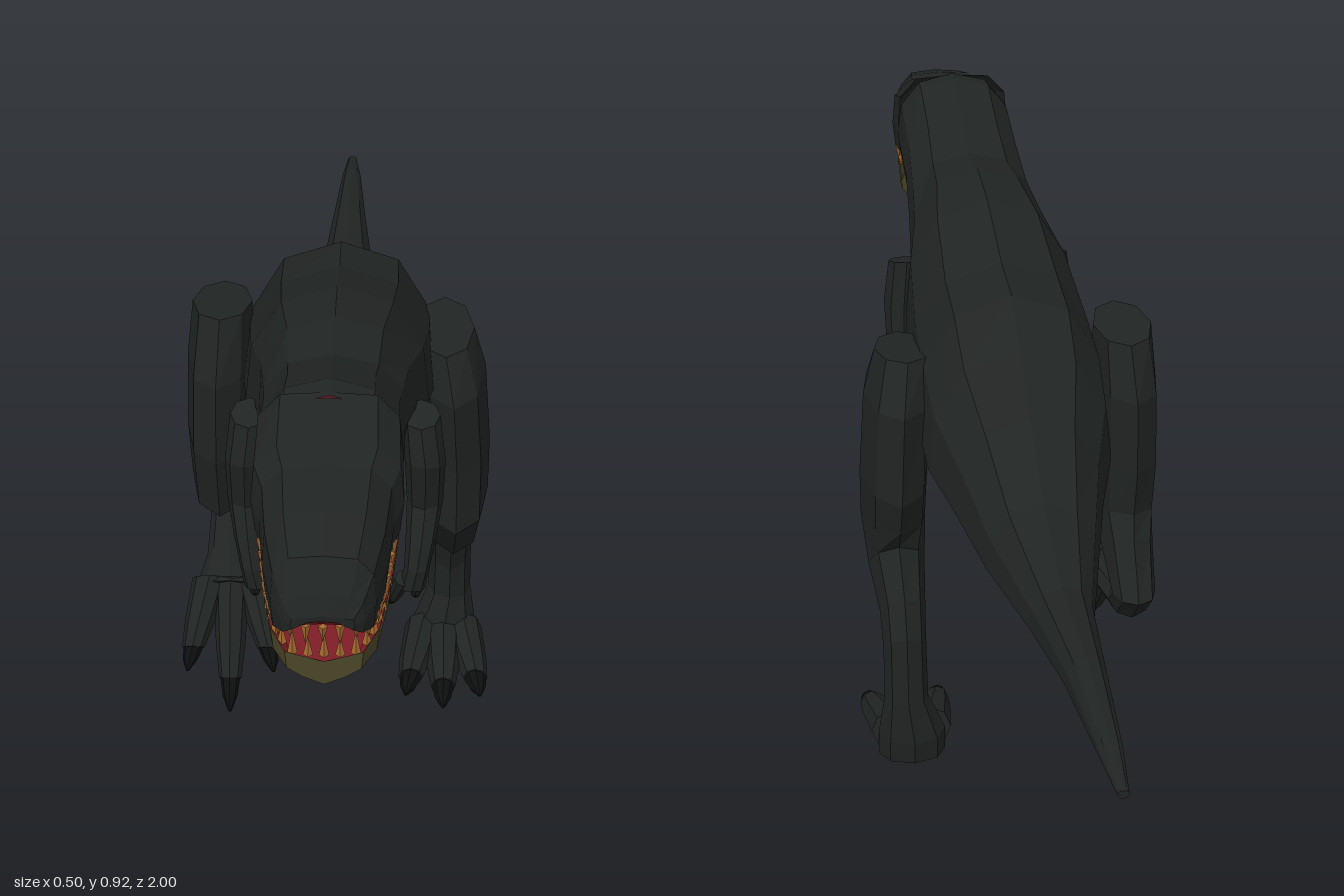
import * as THREE from 'three';

const paint = (color) => new THREE.MeshStandardMaterial({ color, flatShading: true, side: THREE.DoubleSide });
const HIDE = paint(0x202422), BELLY = paint(0x4b4628), MOUTH = paint(0x7a1c24);
const TOOTH = paint(0xa86a30), CLAW = paint(0x0d0e0e);

// Skin a list of closed rings; keep() picks which strips around the ring are built
function loft(name, rings, material, { keep = () => true, startCap = false, endCap = false } = {}) {
  const pos = [], n = rings[0].length;
  const tri = (...pts) => pts.forEach((p) => pos.push(...p));
  for (let i = 0; i < rings.length - 1; i++) {
    for (let k = 0; k < n; k++) {
      if (!keep(k)) continue;
      const a = rings[i], b = rings[i + 1], m = (k + 1) % n;
      tri(a[k], b[k], a[m]);
      tri(a[m], b[k], b[m]);
    }
  }
  const first = rings[0], last = rings[rings.length - 1];
  for (let k = 1; k < n - 1; k++) {
    if (startCap) tri(first[0], first[k], first[k + 1]);
    if (endCap) tri(last[0], last[k + 1], last[k]);
  }
  const geo = new THREE.BufferGeometry();
  geo.setAttribute('position', new THREE.Float32BufferAttribute(pos, 3));
  geo.computeVertexNormals();
  const mesh = new THREE.Mesh(geo, material);
  mesh.name = name;
  return mesh;
}

// Symmetric cross-section from half an outline (top centre to bottom centre)
function section(z, half) {
  const right = half.map(([x, y]) => [x, y, z]);
  const left = half.slice(1, -1).reverse().map(([x, y]) => [-x, y, z]);
  return [...right, ...left];
}

// Torso section: b is the height where hide meets belly
function torsoRing([z, top, bottom, w, b]) {
  const H = top - b, bw = 1 - Math.max(0, H / (top - bottom) - 0.5);
  return section(z, [[0, top], [0.6 * w, top - 0.1 * H], [0.93 * w, top - 0.38 * H], [w, top - 0.72 * H],
    [bw * w, b], [0.68 * bw * w, bottom + 0.1 * (b - bottom)], [0, bottom]]);
}

// Limb stations: [x, half width, front z, front y, back z, back y]
function limbRings(stations, side = 1) {
  return stations.map(([x, rx, fz, fy, bz, by]) => Array.from({ length: 8 }, (_, k) => {
    const c = Math.cos(k * Math.PI / 4), s = Math.sin(k * Math.PI / 4);
    return [side * x + rx * s, Math.max(0, (fy + by) / 2 + c * (fy - by) / 2), (fz + bz) / 2 + c * (fz - bz) / 2];
  }));
}

// Tapered toe ending in a dark claw
function toe(name, from, to, r) {
  const g = new THREE.Group();
  g.name = name;
  const dy = to[1] - from[1], dz = to[2] - from[2], len = Math.hypot(dy, dz);
  const at = (t, k) => {
    const [x, y, z] = from.map((v, i) => v + (to[i] - v) * t);
    const uy = r * k * dz / len, uz = -r * k * dy / len;
    return [x, r * k, z + uz, y + uy, z - uz, y - uy];
  };
  g.add(loft('toe', limbRings([at(0, 1), at(0.5, 0.8), at(0.75, 0.6)]), HIDE, { startCap: true, endCap: true }));
  g.add(loft('claw', limbRings([at(0.73, 0.55), at(0.88, 0.4), at(1, 0.08)]), CLAW, { startCap: true, endCap: true }));
  return g;
}

// Row of teeth along a jaw edge given by one half of the path
function teeth(name, half, count, height, dir) {
  const g = new THREE.Group();
  g.name = name;
  const pts = [...half, ...half.slice(0, -1).reverse().map(([x, y, z]) => [-x, y, z])];
  const curve = new THREE.CatmullRomCurve3(pts.map((p) => new THREE.Vector3(...p)));
  curve.getSpacedPoints(count - 1).forEach((p, i) => {
    const h = height * (i % 2 ? 0.75 : 1);
    const cone = new THREE.Mesh(new THREE.ConeGeometry(0.0065, h, 4), TOOTH);
    cone.name = 'tooth';
    cone.position.set(p.x, p.y + dir * h * 0.4, p.z);
    if (dir < 0) cone.rotation.x = Math.PI;
    g.add(cone);
  });
  return g;
}

export function createModel() {
  const model = new THREE.Group();
  model.name = 'dinosaur';
  const caps = { startCap: true, endCap: true };

  // Tail, torso, neck and skull: [z, top, bottom, half width, belly line]
  const torso = [
    [-1.0, 0.52, 0.508, 0.008, 0.512], [-0.9, 0.535, 0.503, 0.018, 0.51],
    [-0.72, 0.55, 0.485, 0.03, 0.495], [-0.52, 0.545, 0.445, 0.048, 0.46],
    [-0.35, 0.59, 0.428, 0.085, 0.447], [-0.22, 0.67, 0.425, 0.115, 0.455],
    [-0.12, 0.735, 0.425, 0.145, 0.47], [-0.03, 0.79, 0.415, 0.15, 0.49],
    [0.08, 0.80, 0.435, 0.15, 0.52], [0.24, 0.845, 0.50, 0.138, 0.58],
    [0.36, 0.855, 0.56, 0.115, 0.645], [0.46, 0.845, 0.595, 0.106, 0.70],
    [0.56, 0.88, 0.62, 0.1, 0.74], [0.66, 0.915, 0.648, 0.1, 0.755], [0.70, 0.91, 0.64, 0.098, 0.765],
  ].map(torsoRing);
  const isBelly = (k) => k >= 4 && k <= 7;
  model.add(loft('back', torso, HIDE, { keep: (k) => !isBelly(k), startCap: true }));
  model.add(loft('belly', torso, BELLY, { keep: isBelly }));
  model.add(loft('throat', torso.slice(-1).concat([torso.at(-1)]), MOUTH, { endCap: true }));

  // Upper jaw with brow step: [z, top, lip, half width]
  const upper = [
    [0.69, 0.91, 0.768, 0.098], [0.775, 0.88, 0.752, 0.1], [0.8, 0.862, 0.735, 0.088],
    [0.89, 0.85, 0.725, 0.08], [0.965, 0.83, 0.727, 0.066], [0.99, 0.79, 0.735, 0.052], [1.0, 0.765, 0.745, 0.04],
  ].map(([z, t, b, w]) => section(z, [[0, t], [0.65 * w, t - 0.004], [0.95 * w, t - 0.25 * (t - b)],
    [w, t - 0.65 * (t - b)], [0.95 * w, b], [0.6 * w, b + 0.01], [0, b + 0.012]]));
  model.add(loft('upperJaw', upper, HIDE, { keep: (k) => !isBelly(k), endCap: true }));
  model.add(loft('palate', upper, MOUTH, { keep: isBelly }));

  // Lower jaw: [z, lip, bottom, half width]
  const lower = [
    [0.69, 0.758, 0.64, 0.097], [0.74, 0.742, 0.63, 0.095], [0.82, 0.705, 0.624, 0.085],
    [0.9, 0.682, 0.618, 0.07], [0.94, 0.672, 0.622, 0.05],
  ].map(([z, t, b, w]) => section(z, [[0, t - 0.015], [0.75 * w, t - 0.015], [w, t],
    [0.95 * w, t - 0.5 * (t - b)], [0.55 * w, b + 0.012], [0, b]]));
  const isTongue = (k) => k < 2 || k > 7;
  model.add(loft('lowerJaw', lower, BELLY, { keep: (k) => !isTongue(k), endCap: true }));
  model.add(loft('mouthFloor', lower, MOUTH, { keep: isTongue }));

  model.add(teeth('upperTeeth', [[-0.091, 0.758, 0.75], [-0.082, 0.735, 0.82], [-0.07, 0.73, 0.91],
    [-0.052, 0.735, 0.965], [0, 0.738, 0.985]], 27, 0.03, -1));
  model.add(teeth('lowerTeeth', [[-0.088, 0.735, 0.75], [-0.078, 0.7, 0.83], [-0.063, 0.68, 0.9],
    [-0.042, 0.67, 0.932], [0, 0.668, 0.936]], 25, 0.036, 1));

  // Standing left leg
  const leftLeg = new THREE.Group();
  leftLeg.name = 'leftLeg';
  leftLeg.add(loft('leg', limbRings([
    [0.165, 0.045, 0.13, 0.67, -0.04, 0.69], [0.178, 0.052, 0.17, 0.60, -0.10, 0.62],
    [0.185, 0.055, 0.16, 0.48, -0.105, 0.47], [0.186, 0.053, 0.16, 0.37, -0.08, 0.41],
    [0.186, 0.046, 0.05, 0.265, -0.05, 0.37], [0.184, 0.037, -0.03, 0.225, -0.10, 0.30],
    [0.184, 0.035, -0.05, 0.17, -0.125, 0.24], [0.184, 0.036, -0.055, 0.11, -0.13, 0.12],
    [0.175, 0.055, -0.04, 0.05, -0.128, 0.04], [0.175, 0.055, -0.04, 0.0, -0.12, 0.0],
  ]), HIDE, caps));
  for (const i of [-1, 0, 1]) {
    leftLeg.add(toe('toe', [0.175 + i * 0.032, 0.04, -0.075], [0.173 + i * 0.062, 0.012, i ? 0.09 : 0.125], 0.034));
  }
  model.add(leftLeg);

  // Raised right leg
  const rightLeg = new THREE.Group();
  rightLeg.name = 'rightLeg';
  rightLeg.add(loft('leg', limbRings([
    [0.185, 0.047, 0.10, 0.715, -0.06, 0.705], [0.19, 0.052, 0.15, 0.62, -0.10, 0.62],
    [0.192, 0.053, 0.155, 0.49, -0.10, 0.50], [0.19, 0.05, 0.13, 0.38, -0.09, 0.42],
    [0.187, 0.042, 0.0, 0.31, -0.11, 0.385], [0.187, 0.035, -0.075, 0.295, -0.162, 0.295],
    [0.186, 0.034, -0.04, 0.28, -0.115, 0.245], [0.183, 0.037, 0.03, 0.268, 0.015, 0.22],
    [0.178, 0.055, 0.115, 0.25, 0.08, 0.205],
  ], -1), HIDE, caps));
  for (const i of [-1, 0, 1]) {
    rightLeg.add(toe('toe', [-0.177 + i * 0.034, 0.235, 0.085], [-0.175 + i * 0.07, i ? 0.12 : 0.065, i ? 0.185 : 0.22], 0.03));
  }
  model.add(rightLeg);

  // Small two-clawed arms
  for (const s of [1, -1]) {
    const arm = new THREE.Group();
    arm.name = s > 0 ? 'leftArm' : 'rightArm';
    arm.add(loft('arm', limbRings([
      [0.125, 0.028, 0.395, 0.69, 0.33, 0.705], [0.132, 0.03, 0.405, 0.63, 0.328, 0.62],
      [0.133, 0.027, 0.385, 0.55, 0.325, 0.555], [0.128, 0.023, 0.405, 0.50, 0.345, 0.50],
      [0.122, 0.019, 0.418, 0.46, 0.37, 0.45], [0.115, 0.02, 0.415, 0.425, 0.375, 0.415],
    ], s), HIDE, caps));
    arm.add(toe('innerFinger', [s * 0.103, 0.44, 0.4], [s * 0.083, 0.372, 0.365], 0.014));
    arm.add(toe('outerFinger', [s * 0.12, 0.44, 0.395], [s * 0.122, 0.375, 0.35], 0.014));
    model.add(arm);
  }
  return model;
}
